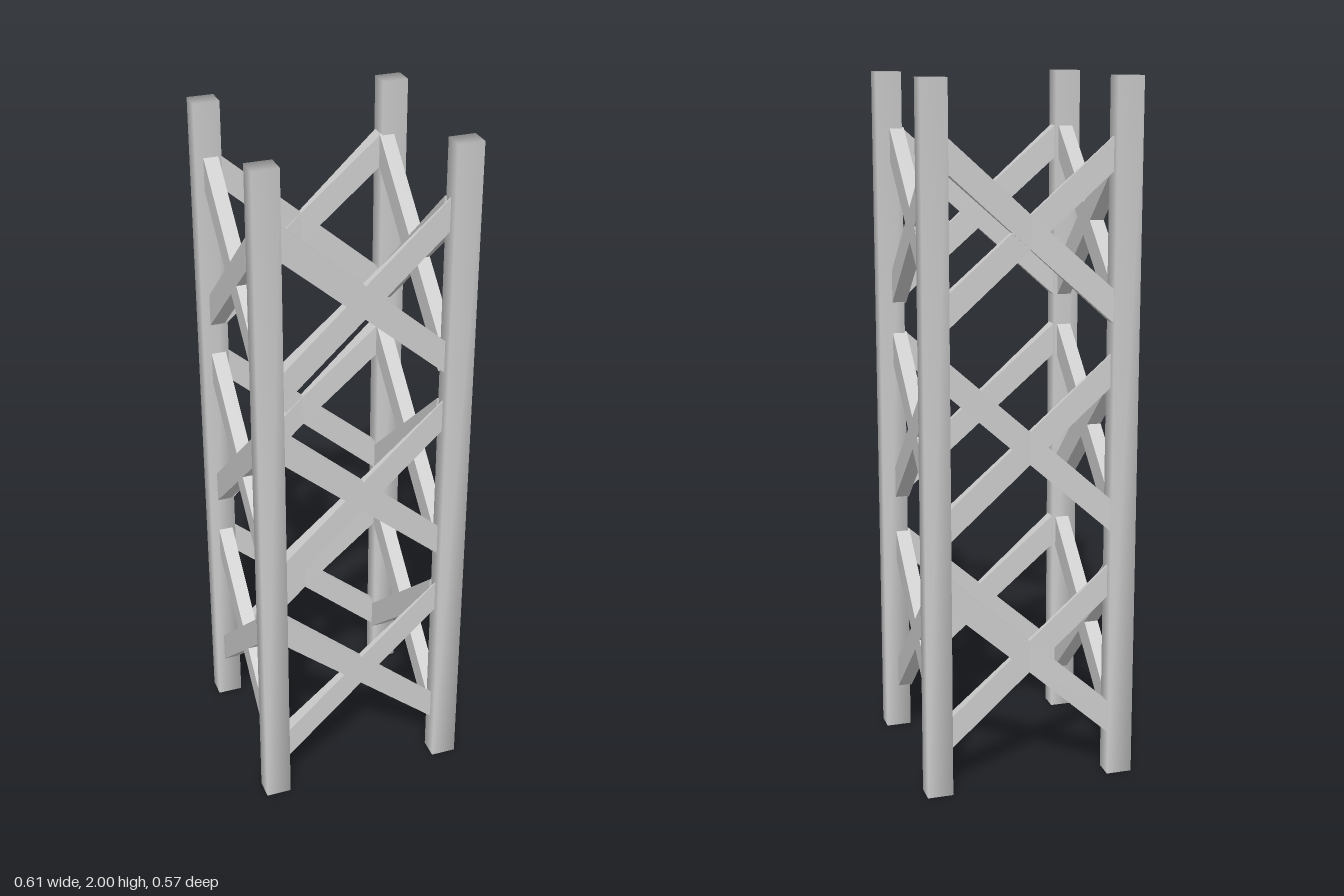
import * as THREE from 'three';
import { mergeVertices } from 'three/addons/utils/BufferGeometryUtils.js';

const grey = new THREE.MeshStandardMaterial({ color: 0xcccccc });
const flatGrey = new THREE.MeshStandardMaterial({ color: 0xcccccc, flatShading: true });

// Square post whose corners share smooth normals
function postGeometry(width, height, depth) {
  let geo = new THREE.BoxGeometry(width, height, depth);
  geo.deleteAttribute('normal');
  geo.deleteAttribute('uv');
  geo = mergeVertices(geo);
  geo.computeVertexNormals();
  return geo;
}

// Diagonal bar with upright end cuts; thickness given at start, middle and end
function braceGeometry(half, rise, height, thickness) {
  const geo = new THREE.BoxGeometry(2, height, 1, 2, 1, 1);
  const p = geo.attributes.position;
  for (let i = 0; i < p.count; i++) {
    const u = p.getX(i);
    p.setXYZ(i, u * half, p.getY(i) + u * rise, p.getZ(i) * thickness[Math.round(u) + 1]);
  }
  geo.computeVertexNormals();
  return geo;
}

export function createModel() {
  const model = new THREE.Group();
  model.name = 'latticeTower';

  // Four corner posts
  const post = postGeometry(0.074, 2, 0.06);
  for (const x of [-0.27, 0.27]) {
    for (const z of [-0.256, 0.256]) {
      const mesh = new THREE.Mesh(post, grey);
      mesh.name = (z > 0 ? 'front' : 'back') + (x > 0 ? 'Left' : 'Right') + 'Post';
      mesh.position.set(x, 1, z);
      model.add(mesh);
    }
  }

  // Crossed braces: tapered on front and back, even on the sides
  const even = [0.042, 0.042, 0.042];
  const faces = [
    { name: 'front', x: 0, z: 0.255, turn: 0, half: 0.236,
      rising: [0.04, 0.02, 0.004], falling: [0.04, 0.022, 0.004] },
    { name: 'back', x: 0, z: -0.257, turn: 0, half: 0.236,
      rising: [0.043, 0.018, 0.046], falling: [0.008, 0.015, 0.03] },
    { name: 'left', x: 0.248, z: 0, turn: Math.PI / 2, half: 0.23, rising: even, falling: even },
    { name: 'right', x: -0.263, z: 0, turn: Math.PI / 2, half: 0.23, rising: even, falling: even },
  ];
  for (const face of faces) {
    const side = new THREE.Group();
    side.name = face.name + 'Bracing';
    side.position.set(face.x, 0, face.z);
    side.rotation.y = face.turn;
    const bars = {
      risingBrace: braceGeometry(face.half, 0.211, 0.094, face.rising),
      fallingBrace: braceGeometry(face.half, -0.205, 0.094, face.falling),
    };
    for (const y of [0.385, 0.997, 1.592]) {
      for (const [name, geo] of Object.entries(bars)) {
        const mesh = new THREE.Mesh(geo, flatGrey);
        mesh.name = name;
        mesh.position.y = y;
        side.add(mesh);
      }
    }
    model.add(side);
  }
  return model;
}
